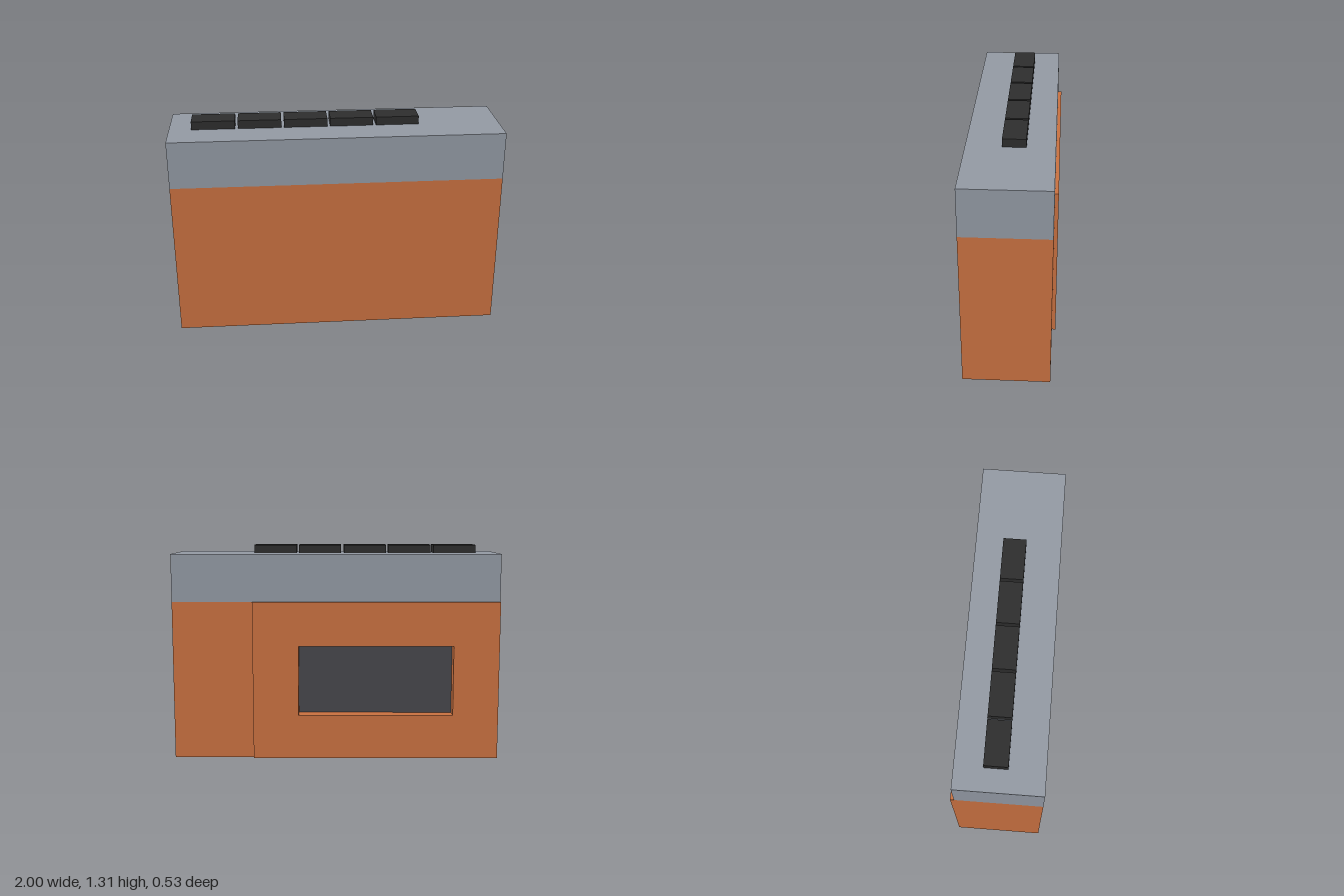
import * as THREE from 'three';

const orange = new THREE.MeshStandardMaterial({ name: 'orange', color: 0xc87040 });
const grey = new THREE.MeshStandardMaterial({ name: 'grey', color: 0x9299a3 });
const black = new THREE.MeshStandardMaterial({ name: 'black', color: 0x2d2d2d });
const glass = new THREE.MeshStandardMaterial({ name: 'darkGlass', color: 0x46464b });

// Box given by its minimum and maximum corners
function box(name, material, [x0, y0, z0], [x1, y1, z1]) {
  const mesh = new THREE.Mesh(new THREE.BoxGeometry(x1 - x0, y1 - y0, z1 - z0), material);
  mesh.position.set((x0 + x1) / 2, (y0 + y1) / 2, (z0 + z1) / 2);
  mesh.name = name;
  return mesh;
}

function rectangle(PathType, x0, y0, x1, y1) {
  const path = new PathType();
  path.moveTo(x0, y0).lineTo(x1, y0).lineTo(x1, y1).lineTo(x0, y1).closePath();
  return path;
}

const WINDOW = { x0: -0.72, y0: 0.27, x1: 0.23, y1: 0.7 };
const BODY_TOP = 0.97, FRONT = 0.265, BACK = -0.245, PANEL_BACK = -0.267, RECESS = -0.175;

// Slab from z0 to z1 pierced by the window opening
function windowSlab(name, x0, x1, z0, z1) {
  const shape = rectangle(THREE.Shape, x0, 0, x1, BODY_TOP);
  shape.holes.push(rectangle(THREE.Path, WINDOW.x0, WINDOW.y0, WINDOW.x1, WINDOW.y1));
  const geometry = new THREE.ExtrudeGeometry(shape, { depth: z1 - z0, bevelEnabled: false });
  const mesh = new THREE.Mesh(geometry, orange);
  mesh.position.z = z0;
  mesh.name = name;
  return mesh;
}

export function createModel() {
  const model = new THREE.Group();
  model.name = 'device';

  // Orange body, with a raised panel around the recessed window at the back
  model.add(
    box('body', orange, [-1, 0, RECESS], [1, BODY_TOP, FRONT]),
    windowSlab('bodyBack', -1, 1, BACK, RECESS),
    windowSlab('backPanel', -1, 0.51, PANEL_BACK, BACK),
    box('screen', glass, [WINDOW.x0, WINDOW.y0, RECESS - 0.005], [WINDOW.x1, WINDOW.y1, RECESS])
  );

  // Grey upper section
  model.add(box('topSection', grey, [-1, BODY_TOP, BACK], [1, 1.26, FRONT]));

  // Row of buttons
  const buttons = new THREE.Group();
  buttons.name = 'buttons';
  for (let i = 0; i < 5; i++) {
    const x = -0.866 + i * 0.278;
    buttons.add(box(`button${i + 1}`, black, [x, 1.26, -0.08], [x + 0.261, 1.31, 0.057]));
  }
  model.add(buttons);
  return model;
}
